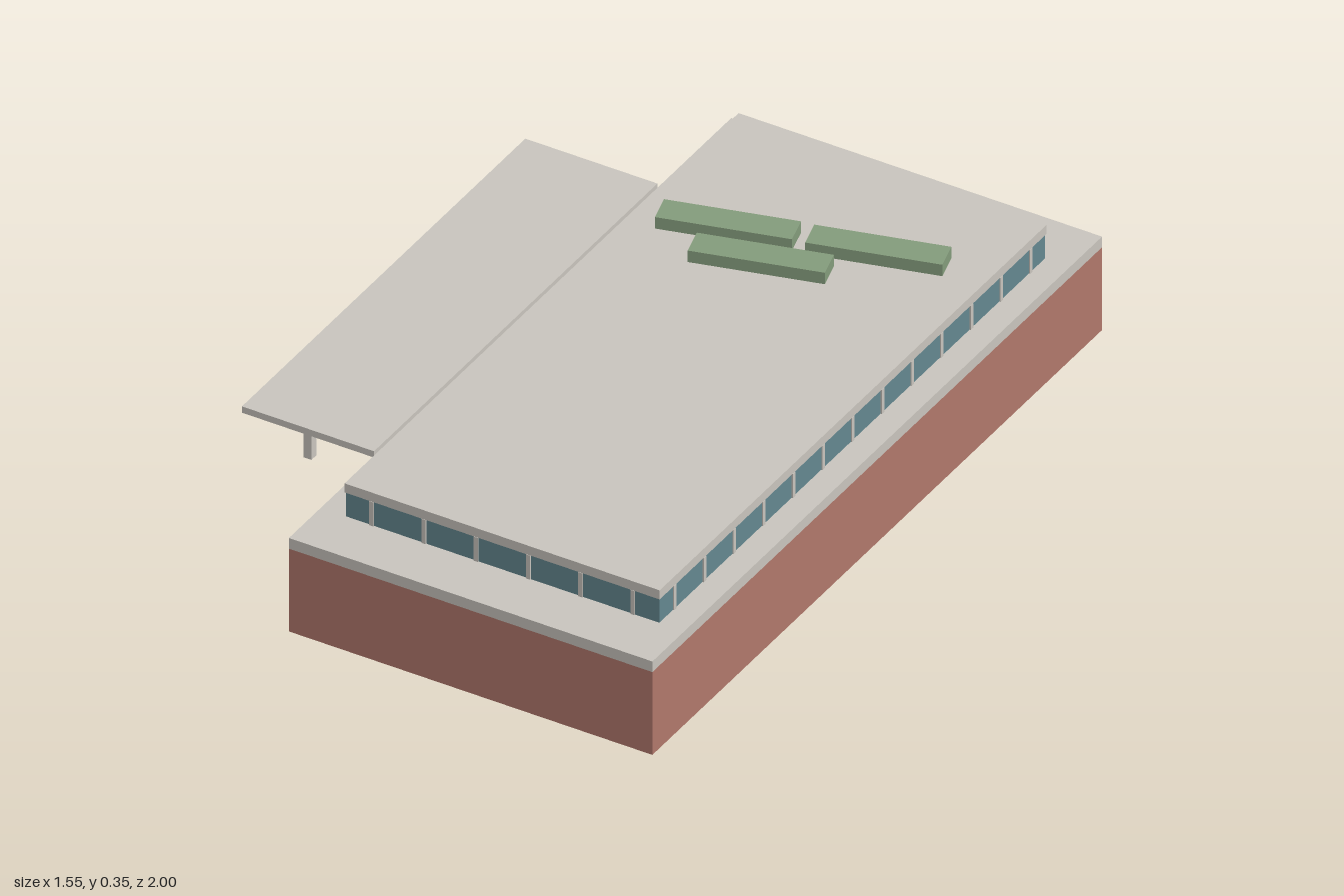
import * as THREE from 'three';

const material = (name, color) => {
  const m = new THREE.MeshStandardMaterial({ color });
  m.name = name;
  return m;
};

export function createModel() {
  const brick = material('brick', 0xb0776b);
  const concrete = material('concrete', 0xc8c4bd);
  const glass = material('glass', 0x64878f);
  const green = material('green', 0x839b7b);

  const model = new THREE.Group();
  model.name = 'building';

  // box given by its centre in x and z, its bottom and its size
  const box = (parent, name, mat, x, y, z, w, h, d) => {
    const mesh = new THREE.Mesh(new THREE.BoxGeometry(w, h, d), mat);
    mesh.name = name;
    mesh.position.set(x, y + h / 2, z);
    parent.add(mesh);
    return mesh;
  };

  // main block, turned on the site
  const block = new THREE.Group();
  block.name = 'mainBlock';
  block.position.set(0.108, 0, -0.002);
  block.rotation.y = -Math.PI / 12;
  model.add(block);

  const W = 0.886, L = 1.828;
  box(block, 'brickWalls', brick, 0, 0, 0, W, 0.21, L);
  box(block, 'lowerRoof', concrete, 0, 0.21, 0, W, 0.027, L);

  // set-back glazed storey
  const w = 0.764, l = 1.568, y0 = 0.237, gh = 0.061;
  box(block, 'glazedStorey', glass, 0, y0, 0, w, gh, l);
  box(block, 'upperRoof', concrete, 0, y0 + gh, 0, w + 0.004, 0.023, l + 0.004);

  // mullions at the middle of each bay, on all four sides
  const bar = 0.01, proud = 0.006;
  const across = 6, along = 13;
  for (const side of [-1, 1]) {
    for (let i = 0; i < across; i++) {
      const x = ((i + 0.5) / across - 0.5) * w;
      box(block, 'mullion', concrete, x, y0, side * l / 2, bar, gh, proud);
    }
    for (let i = 0; i < along; i++) {
      const z = ((i + 0.5) / along - 0.5) * l;
      box(block, 'mullion', concrete, side * w / 2, y0, z, proud, gh, bar);
    }
  }

  // entrance glazing under the canopy
  const mid = -0.008, entryLength = 0.92, entryOut = 0.03, bays = 8;
  box(block, 'entranceGlazing', glass, -W / 2 - entryOut / 2, 0, mid, entryOut, 0.205, entryLength);
  for (let i = 0; i < bays; i++) {
    const z = mid + ((i + 0.5) / bays - 0.5) * entryLength;
    box(block, 'entranceMullion', concrete, -W / 2 - entryOut, 0, z, proud, 0.205, bar);
  }

  // canopy and its posts
  const reach = 0.322;
  box(block, 'canopy', concrete, -W / 2 - reach / 2, 0.237, mid, reach, 0.016, 1.152);
  for (let i = 0; i < 4; i++) {
    box(block, 'canopyPost', concrete, -0.738, 0, mid + (i - 1.5) * 0.23, 0.02, 0.21, 0.02);
  }

  // rooftop planters, square to the axes
  for (const [x, z] of [[0.048, -0.459], [0.376, -0.455], [0.148, -0.359]]) {
    box(model, 'roofPlanter', green, x, 0.32, z, 0.298, 0.03, 0.069);
  }

  return model;
}
